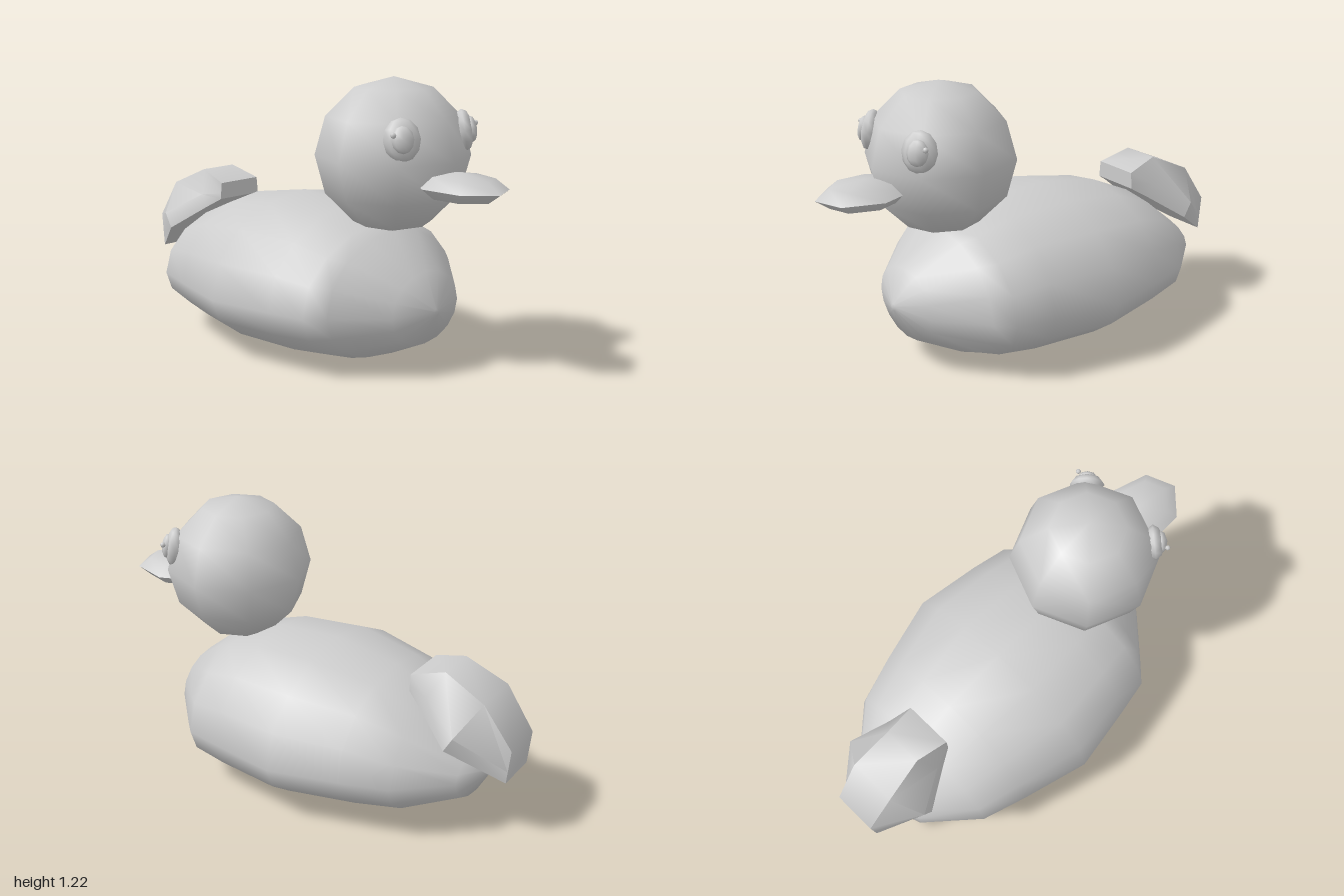
import * as THREE from 'three';
import { toCreasedNormals } from 'three/addons/utils/BufferGeometryUtils.js';

const grey = new THREE.MeshStandardMaterial({ color: 0xcccccc });
grey.name = 'plain grey';

// Skin a list of closed rings running from front (+z) to back, capped at both ends
function loft(rings) {
  const n = rings[0].length;
  const positions = [];
  const index = [];
  rings.forEach((ring) => ring.forEach((p) => positions.push(...p)));
  for (let i = 0; i < rings.length - 1; i++) {
    for (let j = 0; j < n; j++) {
      const a = i * n + j;
      const b = i * n + ((j + 1) % n);
      index.push(a, a + n, b, b, a + n, b + n);
    }
  }
  const last = (rings.length - 1) * n;
  for (let j = 1; j < n - 1; j++) {
    index.push(0, j, j + 1);
    index.push(last, last + j + 1, last + j);
  }
  const geometry = new THREE.BufferGeometry();
  geometry.setAttribute('position', new THREE.Float32BufferAttribute(positions, 3));
  geometry.setIndex(index);
  geometry.computeVertexNormals();
  return geometry;
}

function addPart(parent, name, geometry, x = 0, y = 0, z = 0) {
  const mesh = new THREE.Mesh(geometry, grey);
  mesh.name = name;
  mesh.position.set(x, y, z);
  parent.add(mesh);
  return mesh;
}

// Body: each section is a tall half ellipse over a shallow one
function bodyGeometry() {
  const waist = 0.27;
  const sections = [ // z, half width, top, bottom
    [0.68, 0.015, 0.285, 0.255],
    [0.62, 0.21, 0.43, 0.12],
    [0.44, 0.4, 0.575, 0.035],
    [0.37, 0.47, 0.6, 0.02],
    [0.2, 0.5, 0.655, 0],
    [-0.1, 0.545, 0.675, 0.01],
    [-0.4, 0.46, 0.625, 0.03],
    [-0.6, 0.395, 0.535, 0.06],
    [-0.81, 0.205, 0.37, 0.14],
    [-0.87, 0.04, 0.3, 0.25],
  ];
  return loft(sections.map(([z, w, top, bottom]) =>
    Array.from({ length: 16 }, (_, j) => {
      const a = (j / 16) * Math.PI * 2;
      const s = Math.sin(a);
      return [w * Math.cos(a), waist + s * (s > 0 ? top - waist : waist - bottom), z];
    })));
}

// Tail: slanted six-sided plate with a straight rim and a domed top
function tailGeometry() {
  const sections = [ // bottom z, y, half width, then top z, y, half width
    [-0.53, 0.585, 0.115, -0.53, 0.66, 0.11],
    [-0.6, 0.54, 0.15, -0.68, 0.705, 0.09],
    [-0.76, 0.43, 0.235, -0.87, 0.62, 0.11],
    [-0.985, 0.285, 0.1, -1, 0.44, 0.1],
  ];
  const rim = 0.35;
  const rings = sections.map(([zb, yb, wb, zt, yt, wt]) => {
    const zr = zb + (zt - zb) * rim;
    const yr = yb + (yt - yb) * rim;
    return [[wb, yb, zb], [wb, yr, zr], [wt, yt, zt], [-wt, yt, zt], [-wb, yr, zr], [-wb, yb, zb]];
  });
  return toCreasedNormals(loft(rings), 0.75);
}

// Eye: flattened ball facing outward, with a raised pupil and a tiny bead
function addEye(parent, side) {
  const eye = new THREE.Group();
  eye.name = side > 0 ? 'leftEye' : 'rightEye';
  eye.position.set(side * 0.195, 1, 0.645);
  const outward = new THREE.Vector3(side * 0.64, 0.15, 0.7).normalize();
  eye.quaternion.setFromUnitVectors(new THREE.Vector3(0, 0, 1), outward);
  addPart(eye, 'eyeball', new THREE.SphereGeometry(1, 8, 6).scale(0.075, 0.088, 0.04));
  addPart(eye, 'pupil', new THREE.SphereGeometry(1, 8, 6).scale(0.045, 0.055, 0.025), 0, 0, 0.03);
  parent.add(eye);
  addPart(parent, 'eyeBead', new THREE.SphereGeometry(0.012, 6, 4), side * 0.258, 1.025, 0.655);
}

export function createModel() {
  const duck = new THREE.Group();
  duck.name = 'duck';
  addPart(duck, 'body', bodyGeometry());
  addPart(duck, 'tail', tailGeometry());
  addPart(duck, 'head', new THREE.SphereGeometry(0.325, 8, 6), 0, 0.895, 0.43);

  // Beak: flattened seven-sided ball, turned slightly off centre
  const beak = new THREE.SphereGeometry(1, 7, 4).rotateY(0.49).scale(0.155, 0.06, 0.212);
  addPart(duck, 'beak', toCreasedNormals(beak, 0.75), 0, 0.805, 0.79);

  for (const side of [-1, 1]) addEye(duck, side);
  return duck;
}
